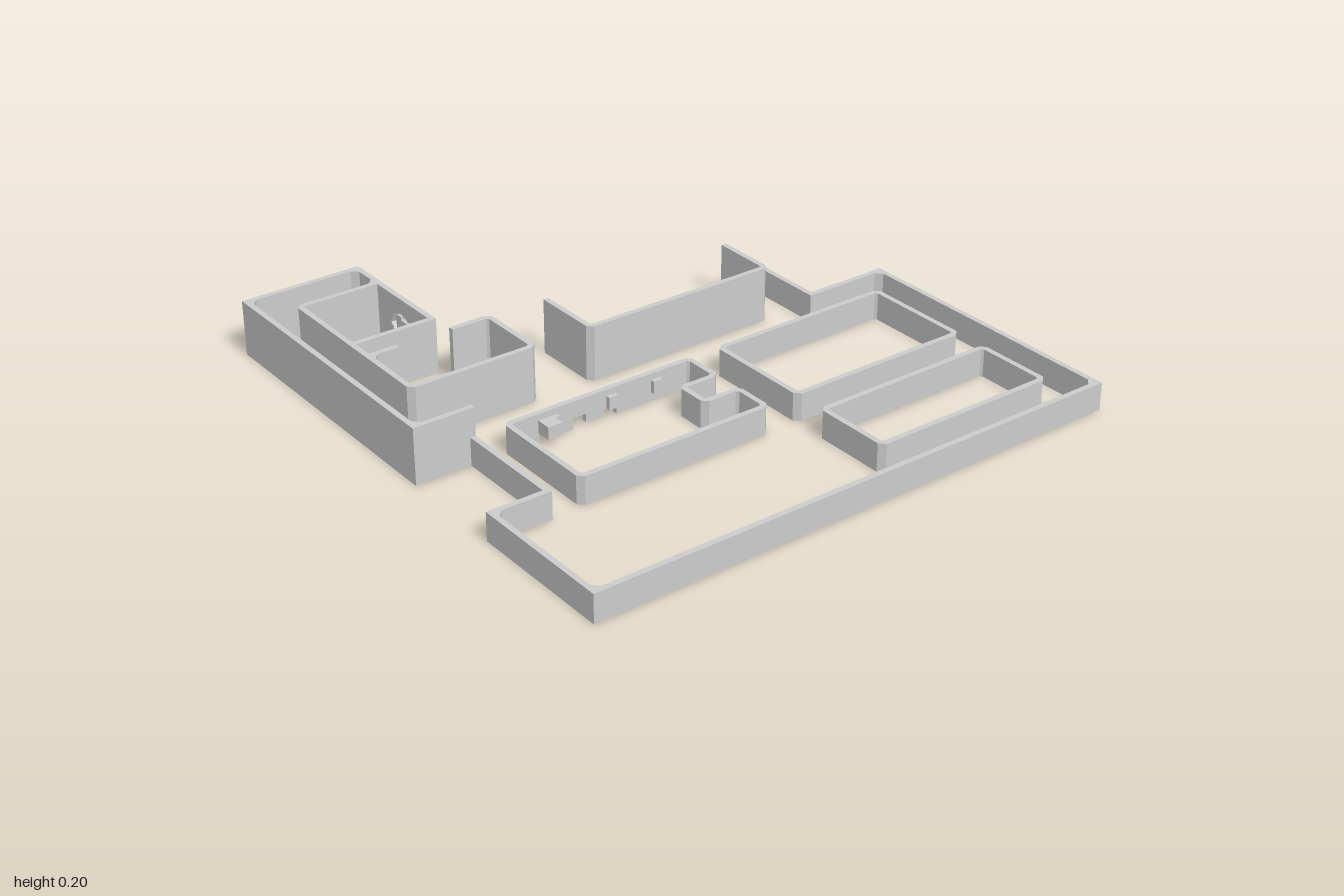
import * as THREE from 'three';

const LOW = 0.1, TALL = 0.2, HALF = 0.01;
const material = new THREE.MeshStandardMaterial({ color: 0xcccccc, flatShading: true });

const toVectors = (list) => list.map(([x, z]) => new THREE.Vector2(x, z));

// Replace every corner by two points, cutting it at 45 degrees
function chamfer(points, closed, cut) {
  const n = points.length, out = [];
  points.forEach((p, i) => {
    if (!cut || (!closed && (i === 0 || i === n - 1))) return out.push(p);
    for (const q of [points[(i + n - 1) % n], points[(i + 1) % n]])
      out.push(p.clone().add(q.clone().sub(p).setLength(cut)));
  });
  return out;
}

// Shift a centreline sideways with mitred corners
function offset(points, closed, d) {
  const n = points.length;
  const normal = (a, b) => new THREE.Vector2(a.y - b.y, b.x - a.x).normalize();
  return points.map((p, i) => {
    const prev = i > 0 || closed ? points[(i + n - 1) % n] : null;
    const next = i < n - 1 || closed ? points[(i + 1) % n] : null;
    const n1 = prev ? normal(prev, p) : normal(p, next);
    const n2 = next ? normal(p, next) : n1;
    const m = n1.clone().add(n2).normalize();
    return p.clone().addScaledVector(m, d / m.dot(n1));
  });
}

// Extrude a floor-plan shape (x, z) upwards from the ground
function raise(shape, height, name) {
  const geometry = new THREE.ExtrudeGeometry(shape, { depth: height, bevelEnabled: false });
  geometry.rotateX(Math.PI / 2).translate(0, height, 0);
  const mesh = new THREE.Mesh(geometry, material);
  mesh.name = name;
  return mesh;
}

function wall(name, list, height, { closed = false, cut = 0.014 } = {}) {
  const line = chamfer(toVectors(list), closed, cut);
  const a = offset(line, closed, HALF), b = offset(line, closed, -HALF);
  if (!closed) return raise(new THREE.Shape([...a, ...b.reverse()]), height, name);
  const [outer, inner] = Math.abs(THREE.ShapeUtils.area(a)) > Math.abs(THREE.ShapeUtils.area(b)) ? [a, b] : [b, a];
  const shape = new THREE.Shape(outer);
  shape.holes.push(new THREE.Path(inner));
  return raise(shape, height, name);
}

// Small triangular fillet in an inside corner
function gusset(x, z, sx, sz, height) {
  const s = 0.022;
  return raise(new THREE.Shape(toVectors([[x, z], [x + sx * s, z], [x, z + sz * s]])), height, 'cornerFillet');
}

function block(name, w, h, d, x, y, z) {
  const mesh = new THREE.Mesh(new THREE.BoxGeometry(w, h, d), material);
  mesh.name = name;
  mesh.position.set(x, y, z);
  return mesh;
}

const rect = (x0, x1, z0, z1) => [[x0, z0], [x1, z0], [x1, z1], [x0, z1]];

export function createModel() {
  const model = new THREE.Group();
  model.name = 'floorPlanWalls';

  // Low outer boundary
  model.add(wall('outerWall', [[0.065, 0.79], [0.475, 0.79], [0.475, 0.99], [0.99, 0.99], [0.99, -0.99],
    [-0.05, -0.99], [-0.05, -0.675], [-0.37, -0.675], [-0.37, -0.555]], LOW, { cut: 0 }));
  for (const [x, z, sx, sz] of [[0.98, 0.98, -1, -1], [0.98, -0.98, -1, 1], [-0.04, -0.98, 1, 1], [0.485, 0.98, 1, -1]])
    model.add(gusset(x, z, sx, sz, LOW));

  // Tall front boundary wrapping the corner room
  model.add(wall('tallFrontWall', [[-0.99, 0.56], [-0.99, 0.99], [0.065, 0.99], [0.065, 0.78]], TALL, { cut: 0 }));
  for (const [x, z, sx, sz] of [[-0.98, 0.98, 1, -1], [0.055, 0.98, -1, -1], [-0.98, 0.575, 1, 1], [-0.86, 0.575, -1, 1]])
    model.add(gusset(x, z, sx, sz, TALL));

  // Tall inner walls
  model.add(
    wall('passageWall', [[-0.405, 0.185], [-0.152, 0.185], [-0.152, -0.552], [-0.38, -0.552]], TALL),
    wall('roomWall', [[-0.412, 0.555], [-0.412, 0.408], [-0.152, 0.408], [-0.152, 0.867], [-0.85, 0.867], [-0.85, 0.56]], TALL),
    wall('roomDivider', [[-0.512, 0.56], [-0.512, 0.867]], TALL),
    wall('doorReturn', [[-0.412, 0.757], [-0.412, 0.867]], TALL),
    gusset(-0.402, 0.857, 1, -1, TALL),
  );

  // Rear wall of the corner room with a ragged opening
  const rear = new THREE.Shape([[-0.995, 0], [-0.502, 0], [-0.502, TALL], [-0.995, TALL]].map((p) => new THREE.Vector2(...p)));
  rear.holes.push(new THREE.Path([[-0.76, 0.09], [-0.74, 0.13], [-0.69, 0.145], [-0.65, 0.13], [-0.61, 0.135],
    [-0.6, 0.07], [-0.65, 0.05], [-0.68, 0.065], [-0.72, 0.05]].map((p) => new THREE.Vector2(...p))));
  const rearGeometry = new THREE.ExtrudeGeometry(rear, { depth: 0.02, bevelEnabled: false }).translate(0, 0, 0.555);
  const rearWall = new THREE.Mesh(rearGeometry, material);
  rearWall.name = 'rearRoomWall';
  model.add(rearWall);
  for (const [x, y, w, h] of [[-0.715, 0.095, 0.03, 0.07], [-0.68, 0.105, 0.04, 0.025], [-0.635, 0.085, 0.025, 0.04]])
    model.add(block('openingFragment', w, h, 0.014, x, y, 0.565));

  // Low islands
  model.add(
    wall('wideIsland', rect(0.07, 0.465, -0.87, -0.18), LOW, { closed: true }),
    wall('narrowIsland', rect(0.59, 0.865, -0.87, -0.18), LOW, { closed: true }),
    wall('notchedIsland', [[0.07, 0.2], [0.07, -0.05], [0.21, -0.05], [0.21, 0.085], [0.327, 0.085], [0.327, -0.05],
      [0.465, -0.05], [0.465, 0.663], [0.07, 0.663], [0.07, 0.6]], LOW),
  );

  // Side of the notched island with a broken lower edge
  const side = new THREE.Shape([[0.2, 0], [0.25, 0], [0.25, 0.03], [0.3, 0.03], [0.3, 0.01], [0.37, 0.01], [0.37, 0.04],
    [0.42, 0.04], [0.42, 0], [0.48, 0], [0.48, 0.03], [0.55, 0.03], [0.55, 0], [0.6, 0], [0.6, LOW], [0.2, LOW]]
    .map(([z, y]) => new THREE.Vector2(-z, y)));
  const sideGeometry = new THREE.ExtrudeGeometry(side, { depth: 0.02, bevelEnabled: false });
  sideGeometry.rotateY(Math.PI / 2).translate(0.06, 0, 0);
  const sideWall = new THREE.Mesh(sideGeometry, material);
  sideWall.name = 'brokenIslandSide';
  model.add(sideWall);

  // Small blocks along that side
  for (const [x, z, w, d] of [[0.085, 0.095, 0.024, 0.035], [0.085, 0.272, 0.024, 0.035],
    [0.085, 0.495, 0.024, 0.03], [0.105, 0.525, 0.06, 0.055], [0.055, 0.395, 0.014, 0.07]])
    model.add(block('sideBlock', w, 0.045, d, x, 0.055, z));

  return model;
}
